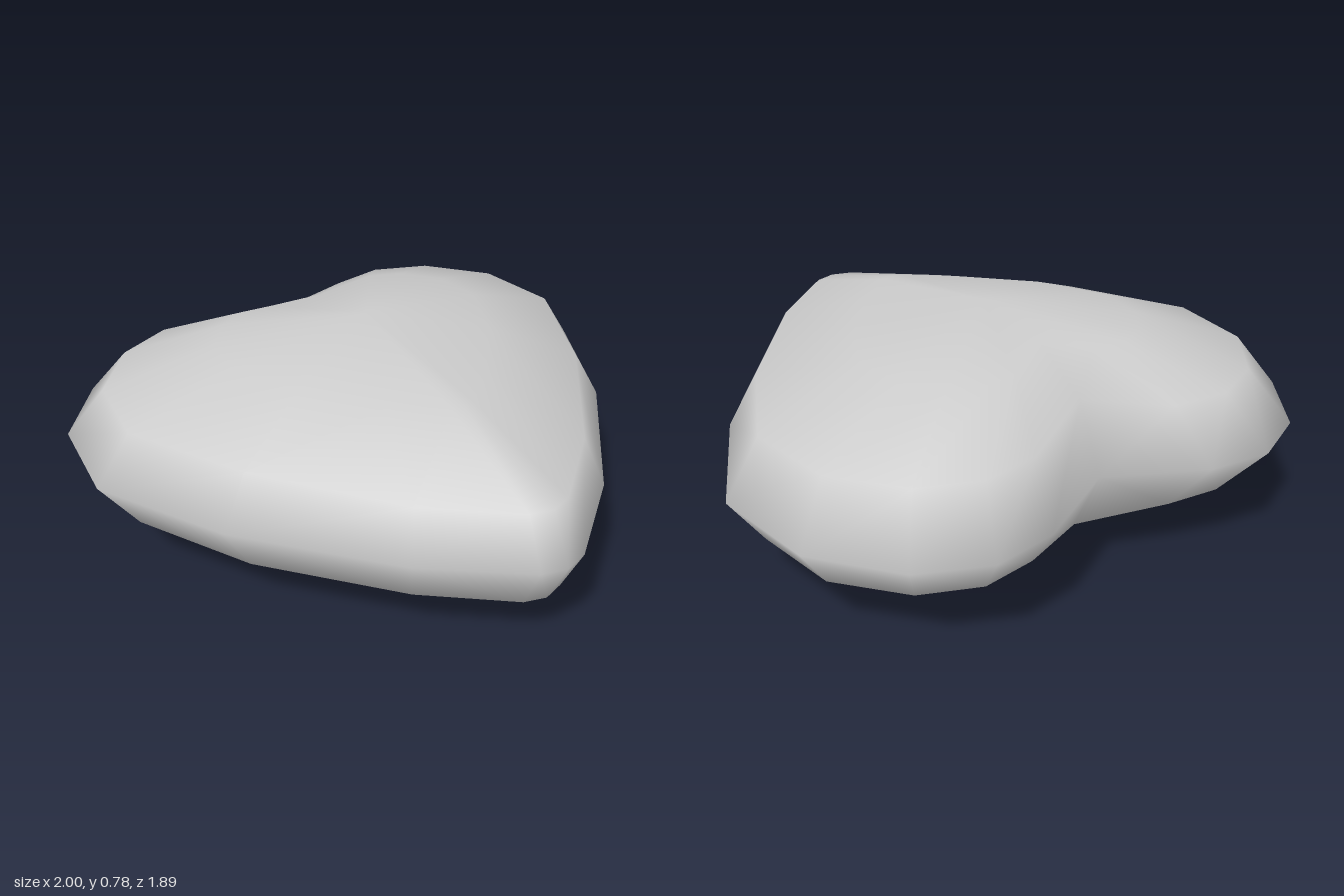
import * as THREE from 'three';

export function createModel() {
  const group = new THREE.Group();
  const midY = 0.392, centreZ = -0.15;

  // Right half of the heart outline [x, z], from the notch round to the tip
  const half = [
    [0, -0.755], [0.32, -0.92], [0.54, -0.95], [0.76, -0.85], [0.955, -0.6],
    [1, -0.23], [0.77, 0.22], [0.385, 0.68], [0.085, 0.92], [0, 0.945],
  ];
  const outline = [...half, ...half.slice(1, -1).reverse().map(([x, z]) => [-x, z])];
  const n = outline.length;

  // Shrinking rings: width scale, back and front depth scale, height, extra height at the notch
  const rings = [
    { sx: 0.875, back: 0.825, front: 0.925, h: 0.178, notch: 0.045 },
    { sx: 0.5, back: 0.49, front: 0.52, h: 0.308, notch: 0.035 },
  ];
  const pos = [], index = [];
  const addRing = (r, side) => outline.forEach(([x, z], i) => {
    const dz = z - centreZ;
    const h = r.h + (i === 0 ? r.notch : 0) - (z > 0.6 ? 0.01 : 0) * (r.h > 0 ? 1 : 0);
    pos.push(x * r.sx, midY + side * h, centreZ + dz * (dz < 0 ? r.back : r.front));
  });

  // Rim ring, then the upper and lower domes
  addRing({ sx: 1, back: 1, front: 1, h: 0, notch: 0 }, 1);
  for (const side of [1, -1]) {
    const tri = (a, b, c) => (side > 0 ? index.push(a, b, c) : index.push(a, c, b));
    let outer = 0;
    for (const r of rings) {
      const inner = pos.length / 3;
      addRing(r, side);
      for (let i = 0; i < n; i++) {
        const j = (i + 1) % n;
        tri(outer + i, inner + i, outer + j);
        tri(outer + j, inner + i, inner + j);
      }
      outer = inner;
    }
    const apex = pos.length / 3;
    pos.push(0, midY + side * 0.392, centreZ);
    for (let i = 0; i < n; i++) tri(outer + i, apex, outer + (i + 1) % n);
  }

  const geometry = new THREE.BufferGeometry();
  geometry.setAttribute('position', new THREE.Float32BufferAttribute(pos, 3));
  // Outline runs clockwise seen from above, so reverse every face to point outward
  for (let i = 0; i < index.length; i += 3) {
    const a = new THREE.Vector3().fromArray(pos, index[i] * 3);
    const b = new THREE.Vector3().fromArray(pos, index[i + 1] * 3);
    const c = new THREE.Vector3().fromArray(pos, index[i + 2] * 3);
    const normal = b.clone().sub(a).cross(c.clone().sub(a));
    if (normal.y * ((a.y + b.y + c.y) / 3 - midY) < 0) {
      [index[i + 1], index[i + 2]] = [index[i + 2], index[i + 1]];
    }
  }
  geometry.setIndex(index);
  geometry.computeVertexNormals();

  const heart = new THREE.Mesh(geometry, new THREE.MeshStandardMaterial({ color: 0xcccccc }));
  heart.name = 'heart';
  group.add(heart);
  return group;
}
